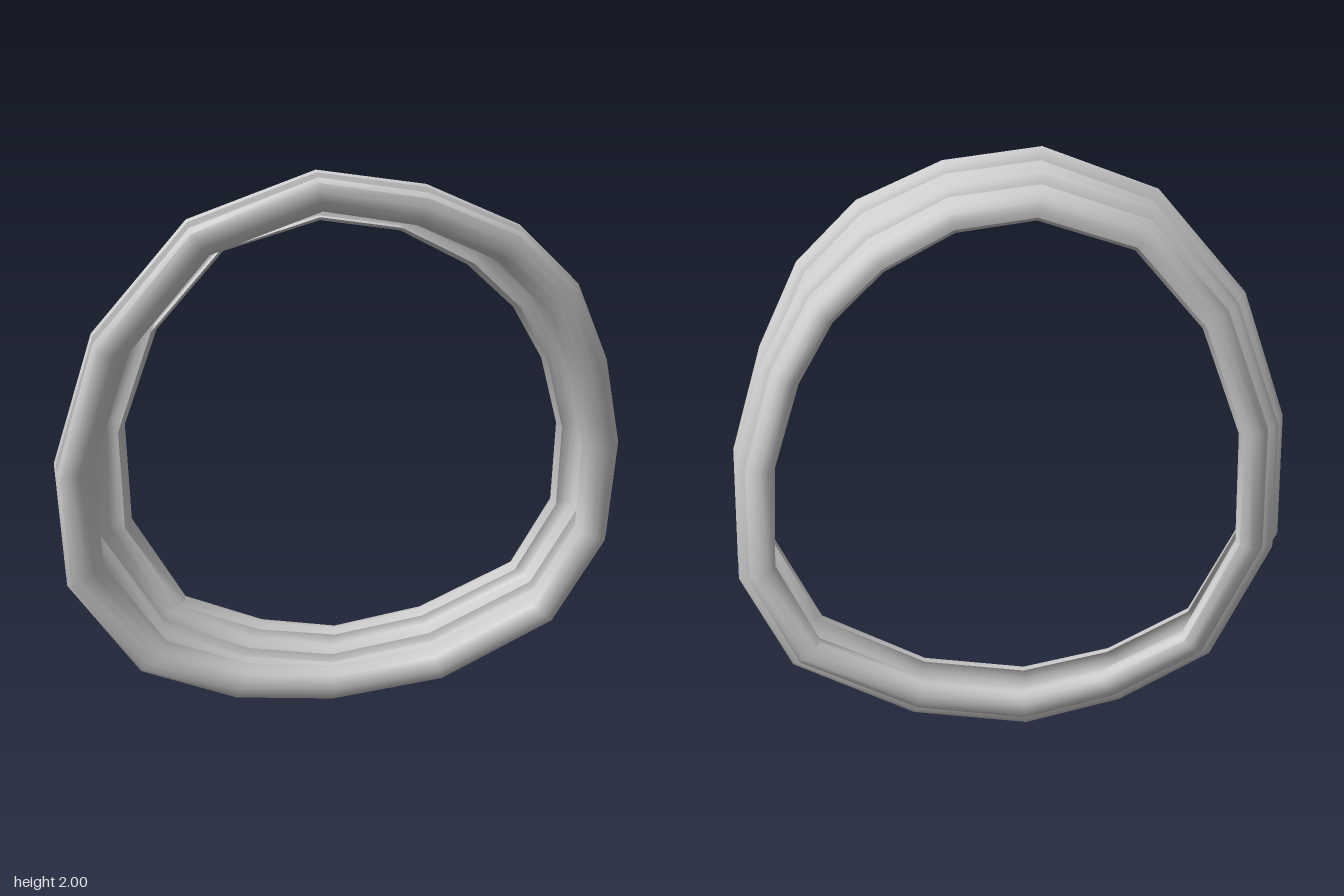
import * as THREE from 'three';
import { toCreasedNormals } from 'three/addons/utils/BufferGeometryUtils.js';

// Outer front and back rims of the tilted band, clockwise from the top
const FRONT = [
  [-0.06, 2.0, 0.28], [0.28, 1.95, 0.22], [0.57, 1.82, 0.15], [0.76, 1.61, 0.07],
  [0.86, 1.32, -0.02], [0.92, 0.98, -0.14], [0.905, 0.6, -0.18], [0.73, 0.28, -0.13],
  [0.34, 0.075, 0.0], [-0.05, 0.025, 0.12], [-0.38, 0.085, 0.26], [-0.69, 0.245, 0.39],
  [-0.9, 0.62, 0.49], [-0.9, 1.04, 0.51], [-0.76, 1.48, 0.47], [-0.45, 1.85, 0.39],
];
const BACK = [
  [-0.14, 1.85, -0.11], [0.15, 1.81, -0.18], [0.41, 1.67, -0.24], [0.59, 1.49, -0.31],
  [0.71, 1.26, -0.39], [0.78, 0.95, -0.47], [0.765, 0.59, -0.51], [0.61, 0.3, -0.47],
  [0.24, 0.12, -0.34], [-0.11, 0.065, -0.22], [-0.4, 0.13, -0.12], [-0.69, 0.275, -0.02],
  [-0.88, 0.64, 0.04], [-0.885, 1.05, 0.055], [-0.74, 1.45, 0.04], [-0.49, 1.74, -0.03],
];

// A raised rib pressed into the band: [position front to back, height]
const rib = (t) => [[t - 0.07, 0], [t - 0.055, 0.022], [t - 0.025, 0.033],
  [t + 0.025, 0.033], [t + 0.055, 0.022], [t + 0.07, 0]];

// A rim curled inward, from its inner free edge to the outer surface
const curl = [[0.21, -0.105], [0.1, -0.11], [0.04, -0.104], [-0.005, -0.085],
  [-0.02, -0.055], [-0.01, -0.025], [0.03, -0.005], [0.09, 0]];

// Open cross-section from the front curl to the back curl
const PROFILE = [
  ...curl, ...rib(0.25), [0.5, 0], ...rib(0.74),
  ...curl.map(([t, h]) => [1 - t, h * 0.9]).reverse(),
];

const toVectors = (rows) => rows.map((p) => new THREE.Vector3(...p));
const centreOf = (points) => points
  .reduce((sum, p) => sum.add(p), new THREE.Vector3())
  .divideScalar(points.length);

function bandGeometry() {
  const front = toVectors(FRONT);
  const back = toVectors(BACK);
  const frontCentre = centreOf(front);
  const backCentre = centreOf(back);
  const positions = [];
  const indices = [];
  const n = front.length;
  const m = PROFILE.length;

  for (let i = 0; i < n; i++) {
    // Outward direction of this section
    const out = front[i].clone().sub(frontCentre).normalize()
      .add(back[i].clone().sub(backCentre).normalize()).normalize();
    for (const [t, h] of PROFILE) {
      const p = front[i].clone().lerp(back[i], t).addScaledVector(out, h);
      positions.push(p.x, p.y, p.z);
    }
    for (let j = 0; j < m - 1; j++) {
      const a = i * m + j;
      const b = ((i + 1) % n) * m + j;
      indices.push(a, b, b + 1, a, b + 1, a + 1);
    }
  }
  const geometry = new THREE.BufferGeometry();
  geometry.setAttribute('position', new THREE.Float32BufferAttribute(positions, 3));
  geometry.setIndex(indices);
  return toCreasedNormals(geometry, 0.75);
}

export function createModel() {
  const group = new THREE.Group();
  group.name = 'bracelet';
  const material = new THREE.MeshStandardMaterial({ color: 0xcccccc, side: THREE.DoubleSide });
  const band = new THREE.Mesh(bandGeometry(), material);
  band.name = 'ribbedBand';
  group.add(band);
  return group;
}
